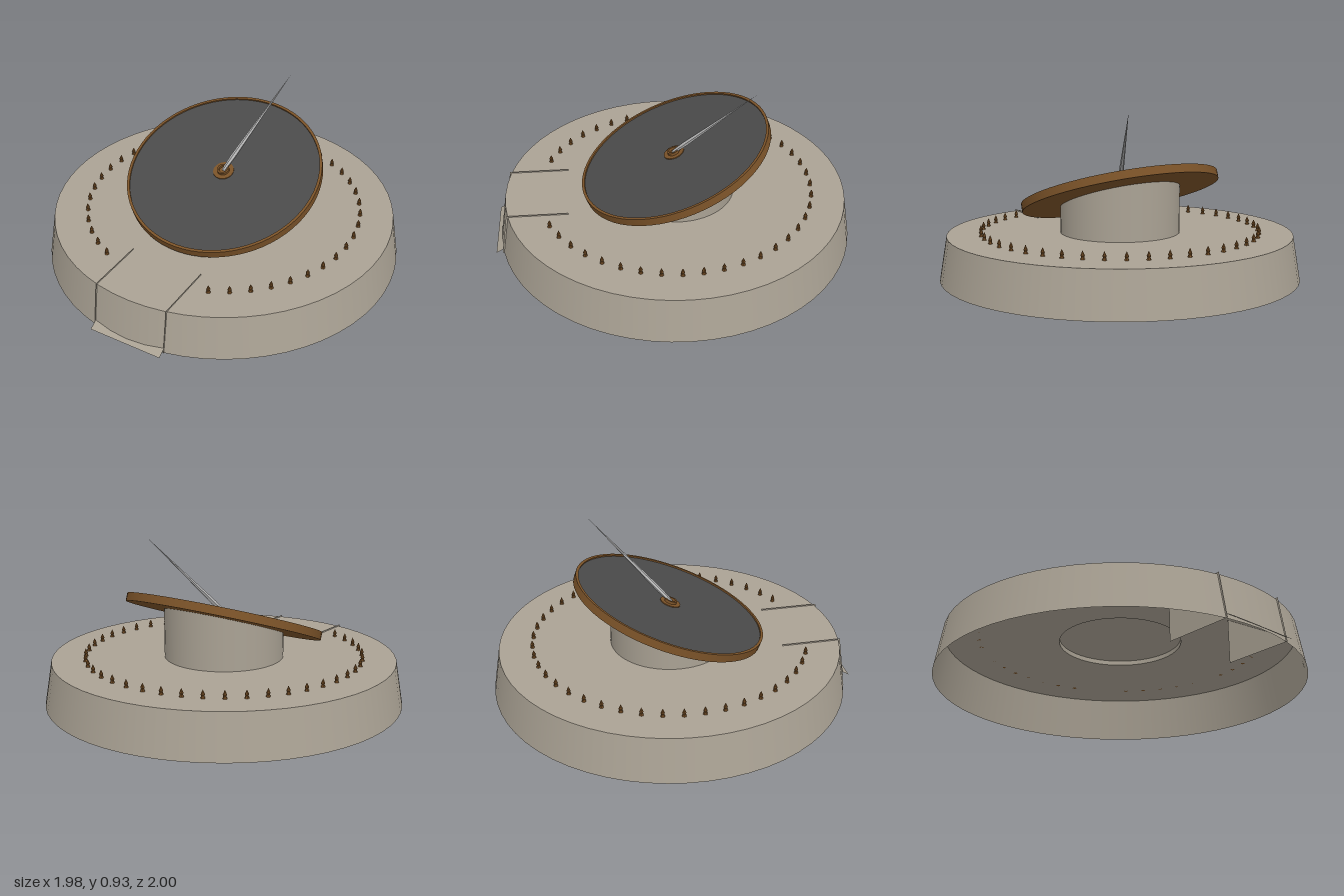
import * as THREE from 'three';
import { toCreasedNormals } from 'three/addons/utils/BufferGeometryUtils.js';

const CZ = -0.01;                       // axis of the round parts
const TILT = THREE.MathUtils.degToRad(20);
const PLATE_Y = 0.24;

function material(name, color, side = THREE.FrontSide) {
  const m = new THREE.MeshStandardMaterial({ color, side });
  m.name = name;
  return m;
}

function add(parent, name, geometry, mat, x = 0, y = 0, z = 0) {
  const mesh = new THREE.Mesh(geometry, mat);
  mesh.name = name;
  mesh.position.set(x, y, z);
  parent.add(mesh);
  return mesh;
}

// Turned part with sharp edges; profile runs from bottom to top
function turned(points, segments) {
  const g = new THREE.LatheGeometry(points.map(p => new THREE.Vector2(...p)), segments);
  return toCreasedNormals(g, 0.6);
}

// Flat four-cornered sheet
function quad(a, b, c, d) {
  const g = new THREE.BufferGeometry();
  g.setAttribute('position', new THREE.Float32BufferAttribute([...a, ...b, ...c, ...d], 3));
  g.setIndex([0, 1, 2, 0, 2, 3]);
  g.computeVertexNormals();
  return g;
}

export function createModel() {
  const model = new THREE.Group();
  model.name = 'sundial';
  const stone = material('stone', 0xaaa294, THREE.DoubleSide);
  const bronze = material('bronze', 0x7a5228);
  const slate = material('slate', 0x4a4a4a);
  const steel = material('steel', 0xb8b8b8);

  // Hollow base: sloping wall, top plate with a shallow recess below the pedestal
  const base = new THREE.Group();
  base.name = 'base';
  base.position.z = CZ;
  model.add(base);
  add(base, 'baseWall', new THREE.CylinderGeometry(0.95, 0.99, PLATE_Y, 60, 1, true), stone, 0, PLATE_Y / 2);
  add(base, 'topPlate', new THREE.RingGeometry(0.33, 0.95, 60).rotateX(-Math.PI / 2), stone, 0, PLATE_Y);
  add(base, 'recessCeiling', new THREE.CircleGeometry(0.33, 60).rotateX(-Math.PI / 2), stone, 0, 0.265);

  // Pedestal, its top cut to the slope of the dial
  const pedestal = new THREE.CylinderGeometry(0.33, 0.33, 1, 60, 1, true);
  const pos = pedestal.attributes.position;
  for (let i = 0; i < pos.count; i++) {
    pos.setY(i, pos.getY(i) > 0 ? 0.434 - pos.getZ(i) * Math.tan(TILT) : PLATE_Y);
  }
  add(base, 'pedestal', pedestal, stone);

  // Front channel: two side sheets and the ramp between them
  const w = 0.21;
  for (const s of [-1, 1]) {
    add(model, s > 0 ? 'leftChannelWall' : 'rightChannelWall',
      quad([s * w, 0, 0.59], [s * w, 0, 0.965], [s * w, 0.248, 0.925], [s * w, 0.248, 0.59]), stone);
  }
  add(model, 'ramp', quad([-w, 0, 1], [w, 0, 1], [w, 0.237, 0.59], [-w, 0.237, 0.59]), stone);

  // Ring of hour pins, open at the front
  const pin = turned([[0, 0], [0.012, 0], [0.008, 0.013], [0.011, 0.02], [0.007, 0.03], [0, 0.045]], 8);
  const pins = new THREE.Group();
  pins.name = 'hourPins';
  base.add(pins);
  for (let i = 0; i < 20; i++) {
    const a = THREE.MathUtils.degToRad(4 + i * 8);
    for (const s of [-1, 1]) {
      add(pins, 'hourPin', pin, bronze, s * 0.765 * Math.sin(a), PLATE_Y, -0.765 * Math.cos(a));
    }
  }

  // Tilted dial: bronze tray, slate face, central boss
  const dial = new THREE.Group();
  dial.name = 'dial';
  dial.position.set(0, 0.456, CZ);
  dial.rotation.x = TILT;
  model.add(dial);
  add(dial, 'dialTray', turned([[0, -0.0225], [0.547, -0.0225], [0.547, 0.0225],
    [0.532, 0.0225], [0.532, 0.01]], 72), bronze);
  add(dial, 'dialFace', new THREE.CircleGeometry(0.534, 72).rotateX(-Math.PI / 2), slate, 0, 0.014);
  add(dial, 'bossPlate', new THREE.CylinderGeometry(0.058, 0.058, 0.006, 32), bronze, 0, 0.016);
  add(dial, 'bossRing', turned([[0.034, 0], [0.034, 0.016], [0.024, 0.016], [0.024, 0]], 24), bronze, 0, 0.018);

  // Needle, widest just above the boss
  const foot = new THREE.Vector3(0, 0.475, 0);
  const dir = new THREE.Vector3(0.19, 0.93, -0.42).sub(foot);
  const len = dir.length();
  const needle = add(model, 'needle',
    turned([[0, 0], [0.01, 0], [0.015, 0.15 * len], [0, len]], 6), steel, ...foot.toArray());
  needle.quaternion.setFromUnitVectors(new THREE.Vector3(0, 1, 0), dir.normalize());

  return model;
}
